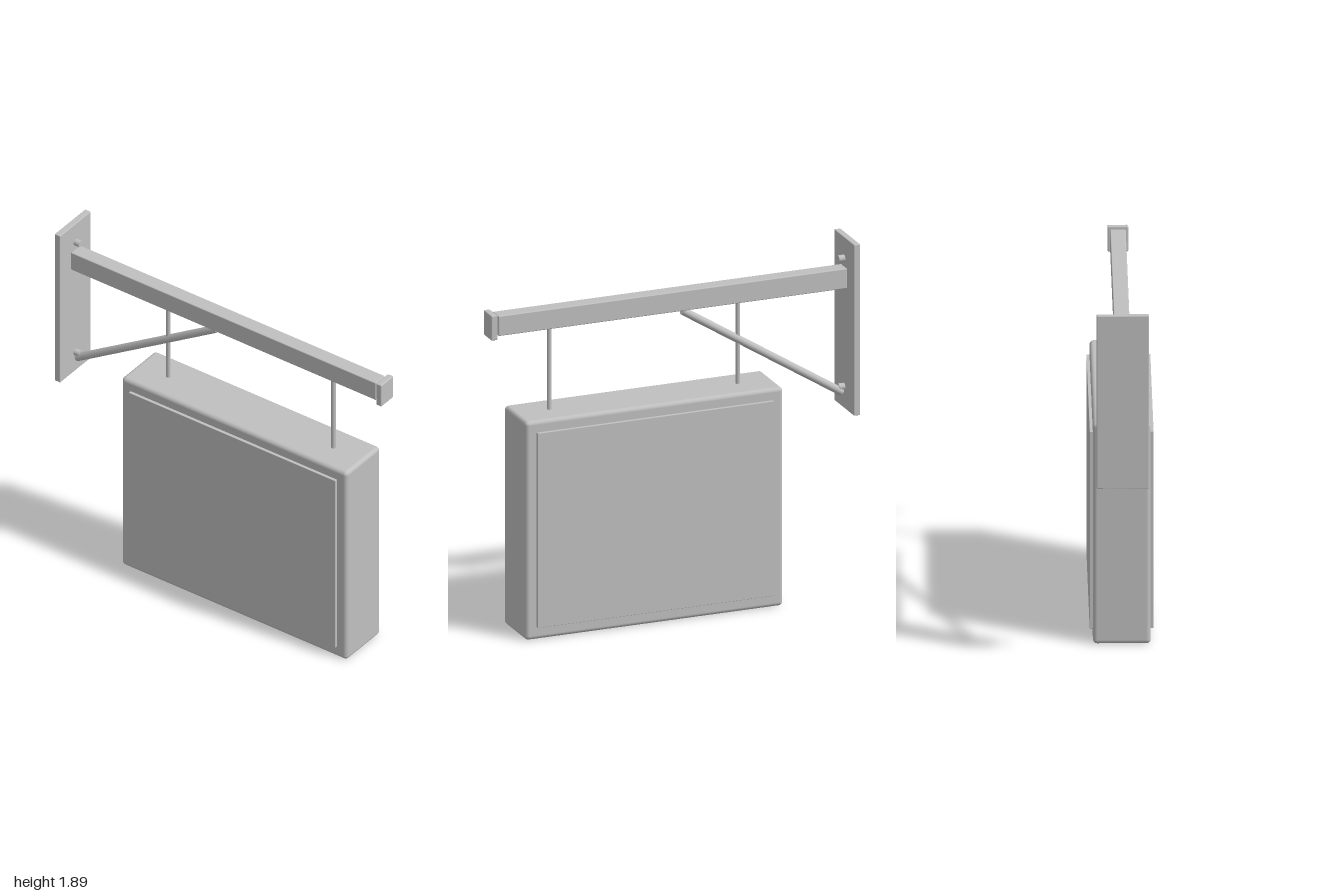
import * as THREE from 'three';
import { RoundedBoxGeometry } from 'three/addons/geometries/RoundedBoxGeometry.js';

export function createModel() {
  const model = new THREE.Group();
  model.name = 'hangingSign';
  const grey = new THREE.MeshStandardMaterial({ color: 0xc0c0c0 });
  grey.name = 'plain grey';

  const add = (name, geometry) => {
    const mesh = new THREE.Mesh(geometry, grey);
    mesh.name = name;
    model.add(mesh);
    return mesh;
  };

  // Rounded box given by its two opposite corners
  const box = (name, [x0, y0, z0], [x1, y1, z1], radius) => {
    const mesh = add(name, new RoundedBoxGeometry(x1 - x0, y1 - y0, z1 - z0, 3, radius));
    mesh.position.set((x0 + x1) / 2, (y0 + y1) / 2, (z0 + z1) / 2);
  };

  // Round bar between two points
  const bar = (name, from, to, radius, sides = 12) => {
    const a = new THREE.Vector3(...from), b = new THREE.Vector3(...to);
    const dir = b.clone().sub(a);
    const mesh = add(name, new THREE.CylinderGeometry(radius, radius, dir.length(), sides));
    mesh.position.copy(a).add(b).multiplyScalar(0.5);
    mesh.quaternion.setFromUnitVectors(new THREE.Vector3(0, 1, 0), dir.normalize());
  };

  // Wall bracket: plate, arm and end cap
  box('wallPlate', [-0.133, 0.967, -1], [0.133, 1.89, -0.965], 0.004);
  box('arm', [-0.04, 1.625, -0.966], [0.04, 1.733, 0.955], 0.005);
  box('armCap', [-0.053, 1.61, 0.965], [0.053, 1.744, 1], 0.006);

  // Diagonal brace under the arm
  bar('brace', [0, 1.056, -0.952], [0, 1.612, -0.075], 0.021);

  // Plate bolts
  for (const y of [1.777, 1.085]) bar('bolt', [0, y, -0.967], [0, y, -0.932], 0.018, 16);

  // Hanging rods
  for (const z of [0.66, -0.38]) bar('hangingRod', [0, 1.17, z], [0, 1.635, z], 0.012);

  // Sign cabinet with a raised panel on each side
  box('cabinet', [-0.147, 0, -0.57], [0.147, 1.18, 0.85], 0.022);
  for (const side of [-1, 1]) {
    const inner = 0.14 * side, outer = 0.163 * side;
    box('signPanel', [Math.min(inner, outer), 0.067, -0.512], [Math.max(inner, outer), 1.118, 0.79], 0.002);
  }
  return model;
}
